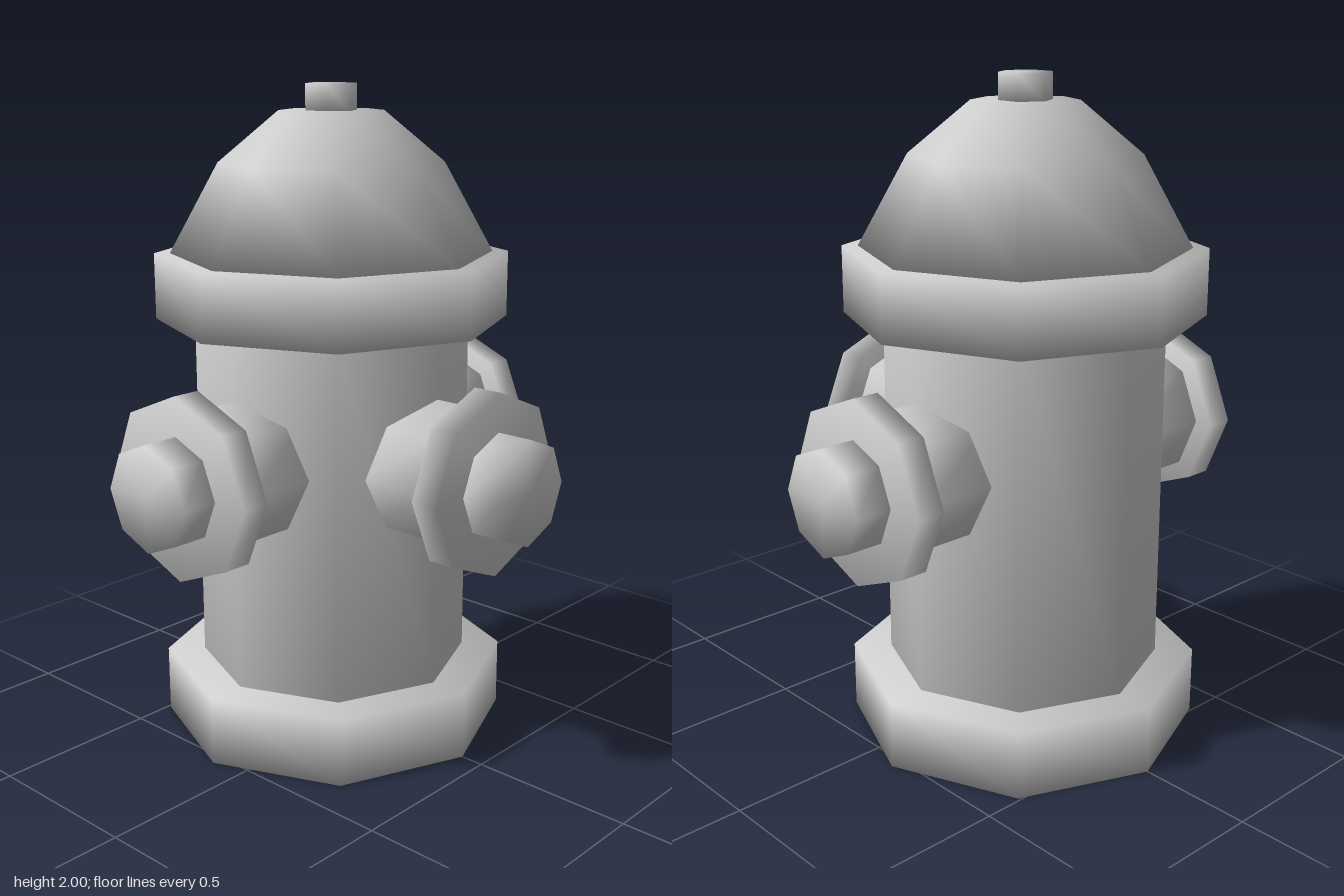
import * as THREE from 'three';
import { mergeVertices } from 'three/addons/utils/BufferGeometryUtils.js';

const material = new THREE.MeshStandardMaterial({ color: 0xcccccc });

// Closed low-poly turned solid from [radius, height] pairs (bottom to top),
// with normals smoothed over every edge.
function turned(name, profile, sides = 8) {
  const points = [[0, profile[0][1]], ...profile, [0, profile[profile.length - 1][1]]]
    .map(([r, y]) => new THREE.Vector2(r, y));
  let geometry = new THREE.LatheGeometry(points, sides);
  geometry.deleteAttribute('normal');
  geometry.deleteAttribute('uv');
  geometry = mergeVertices(geometry, 1e-4);
  geometry.computeVertexNormals();
  const mesh = new THREE.Mesh(geometry, material);
  mesh.name = name;
  return mesh;
}

// Side outlet pointing along +z before it is turned around the barrel
function outlet(name, angle) {
  const parts = new THREE.Group();
  parts.add(
    turned('outletNeck', [[0.216, 0.3], [0.216, 0.555]]),
    turned('outletFlange', [[0.275, 0.555], [0.275, 0.643]]),
    turned('outletCap', [[0.158, 0.643], [0.158, 0.755]])
  );
  parts.rotation.x = Math.PI / 2;
  const group = new THREE.Group();
  group.name = name;
  group.add(parts);
  group.position.y = 0.893;
  group.rotation.y = angle;
  return group;
}

export function createModel() {
  const model = new THREE.Group();
  model.name = 'fireHydrant';

  // Barrel stack
  const hydrant = new THREE.Group();
  hydrant.name = 'hydrant';
  hydrant.position.x = -0.11;
  hydrant.add(
    turned('baseFlange', [[0.538, 0], [0.538, 0.21]]),
    turned('barrel', [[0.42, 0.21], [0.42, 1.3]]),
    turned('topFlange', [[0.538, 1.3], [0.538, 1.5]]),
    turned('bonnet', [[0.49, 1.5], [0.34, 1.77], [0.157, 1.922]])
  );

  // Hexagonal nut on top
  const nut = turned('topNut', [[0.08, 1.92], [0.08, 2]], 6);
  nut.rotation.y = Math.PI / 2;
  hydrant.add(nut);

  // Front, left and back outlets
  ['frontOutlet', 'leftOutlet', 'backOutlet'].forEach((name, i) =>
    hydrant.add(outlet(name, i * Math.PI / 2)));

  model.add(hydrant);
  return model;
}
